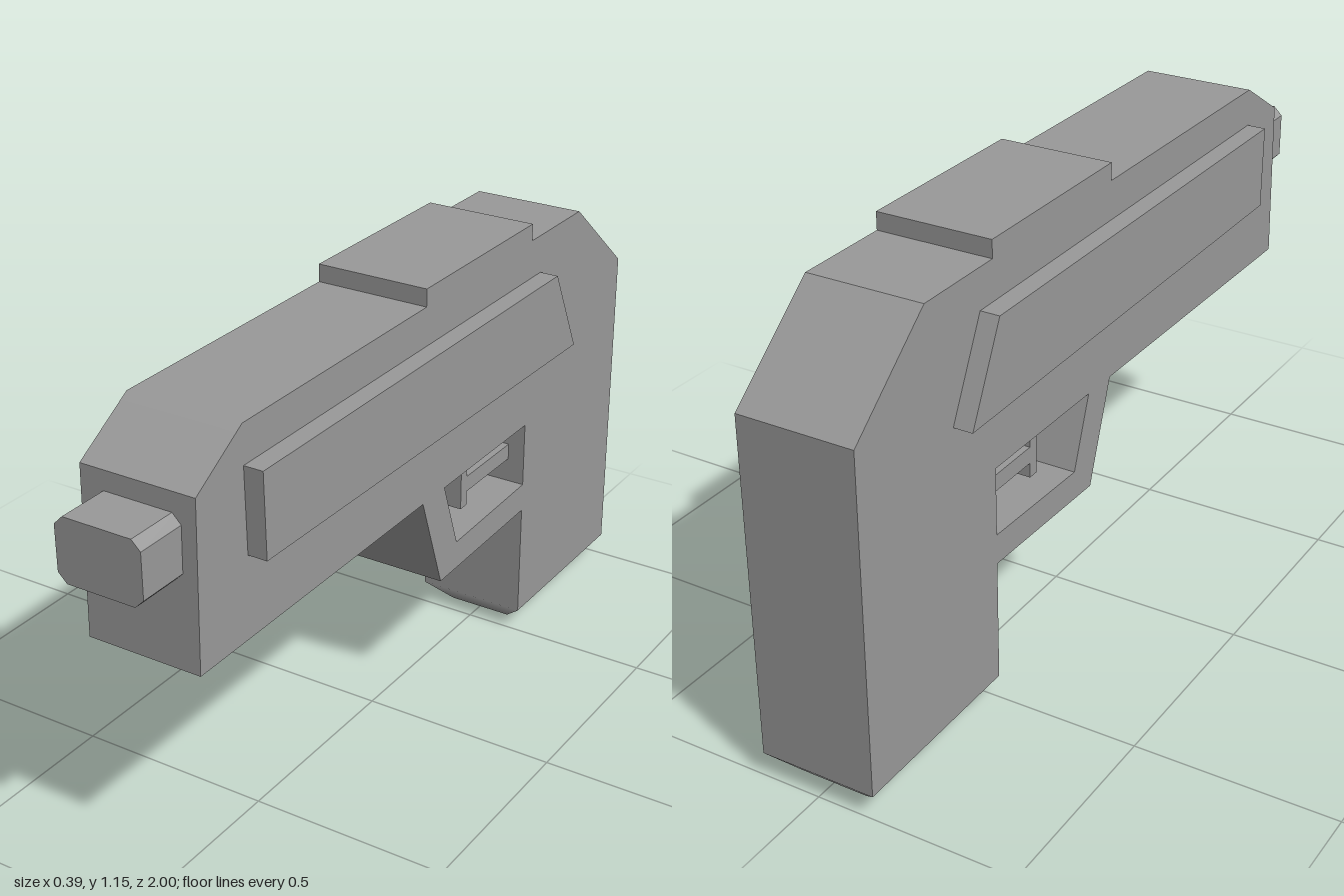
import * as THREE from 'three';

const HALF = 0.145; // half width of the body

// Side profile given as [z, y] points, extruded across x from x0 to x1
function sideProfile(points, x0, x1) {
  const shape = new THREE.Shape(points.map(([z, y]) => new THREE.Vector2(z, y)));
  const geo = new THREE.ExtrudeGeometry(shape, { depth: x1 - x0, bevelEnabled: false });
  geo.rotateY(-Math.PI / 2);
  geo.translate(x1, 0, 0);
  return geo;
}

export function createModel() {
  const group = new THREE.Group();
  const grey = new THREE.MeshStandardMaterial({ color: 0x999999 });
  grey.name = 'grey';

  const add = (name, geo) => {
    const mesh = new THREE.Mesh(geo, grey);
    mesh.name = name;
    group.add(mesh);
  };

  // Body and grip in one outline
  const body = sideProfile([
    [0.88, 0.605], [0.87, 1.01], [0.71, 1.107], [-0.75, 1.108],
    [-1, 0.9], [-1, 0.06], [-0.5, 0.06], [-0.5, 0.61],
  ], -HALF, HALF);
  // The nose slope blends softly into the top
  const bp = body.attributes.position, bn = body.attributes.normal;
  for (let i = 0; i < bp.count; i++) {
    if (Math.abs(bp.getZ(i) - 0.71) < 0.01 && bp.getY(i) > 1.09 && bn.getY(i) > 0.5) bn.setXYZ(i, 0, 1, 0);
  }
  add('body', body);

  // Chamfered foot of the grip, softly blended into the grip sides
  const foot = new THREE.BoxGeometry(2 * HALF, 0.06, 0.5);
  const fp = foot.attributes.position, fn = foot.attributes.normal;
  for (let i = 0; i < fp.count; i++) {
    if (fp.getY(i) < 0) {
      fp.setX(i, Math.sign(fp.getX(i)) * 0.085);
      fp.setZ(i, Math.sign(fp.getZ(i)) * 0.195);
    }
  }
  const straight = fn.clone();
  foot.computeVertexNormals();
  for (let i = 0; i < fp.count; i++) {
    if (fp.getY(i) > 0) {
      foot.attributes.normal.setXYZ(i, straight.getX(i), straight.getY(i), straight.getZ(i));
    }
  }
  foot.translate(0, 0.03, -0.75);
  add('gripFoot', foot);

  // Raised sight block on top
  const sight = new THREE.BoxGeometry(2 * HALF, 0.06, 0.5);
  sight.translate(0, 1.121, -0.25);
  add('topBlock', sight);

  // Raised panels on both sides
  const panel = [[0.71, 1.013], [-0.55, 1.01], [-0.66, 0.787], [0.705, 0.805]];
  add('leftPanel', sideProfile(panel, HALF - 0.01, 0.193));
  add('rightPanel', sideProfile(panel, -0.193, -HALF + 0.01));

  // Full width trigger guard
  add('triggerGuard', sideProfile([
    [0.005, 0.61], [-0.085, 0.355], [-0.5, 0.365],
    [-0.5, 0.44], [-0.16, 0.43], [-0.095, 0.61],
  ], -HALF, HALF));

  // Trigger: a T shaped bar and plate
  add('trigger', sideProfile([
    [-0.256, 0.585], [-0.285, 0.585], [-0.285, 0.545], [-0.51, 0.545],
    [-0.51, 0.503], [-0.285, 0.503], [-0.285, 0.465], [-0.256, 0.465],
  ], -0.1, 0.1));

  // Muzzle block with clipped corners
  const w = 0.108, lo = 0.81, hi = 0.963, c = 0.022;
  const octagon = new THREE.Shape([
    [w, lo + c], [w, hi - c], [w - c, hi], [-w + c, hi],
    [-w, hi - c], [-w, lo + c], [-w + c, lo], [w - c, lo],
  ].map(([x, y]) => new THREE.Vector2(x, y)));
  const muzzle = new THREE.ExtrudeGeometry(octagon, { depth: 0.15, bevelEnabled: false });
  muzzle.translate(0, 0, 0.85);
  add('muzzle', muzzle);

  return group;
}
